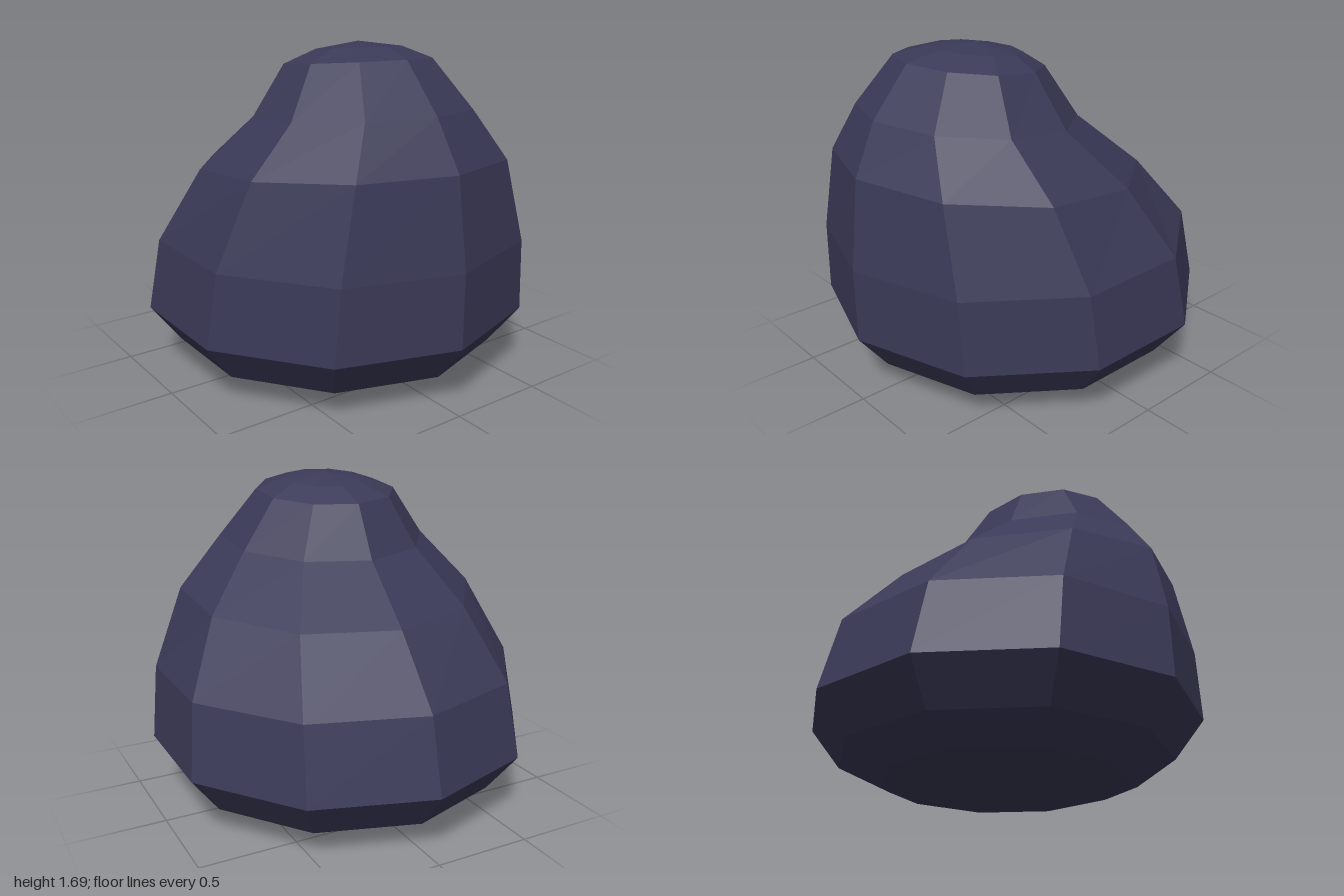
import * as THREE from 'three';

const SIDES = 10;

// Stacked ten-sided rings: radius, centre x/y/z, rise towards the front, rise towards +x
const RINGS = [
  [0.62, 0, 0.04, 0, 0, 0],
  [0.845, 0, 0.14, 0, 0, 0],
  [1.0, 0, 0.34, 0, 0, 0],
  [0.955, 0, 0.715, 0.047, 0, 0],
  [0.78, -0.01, 1.1, 0.167, 0.062, -0.014],
  [0.55, -0.035, 1.355, 0.27, 0.05, -0.008],
  [0.37, -0.045, 1.6, 0.247, 0.038, -0.008],
  [0.22, -0.02, 1.658, 0.22, 0.022, -0.005],
];
const BOTTOM = [0, 0, 0];
const TOP = [-0.02, 1.69, 0.22];

// Lofts the rings and closes both ends with a point
function loftGeometry() {
  const positions = [];
  for (const [r, cx, cy, cz, front, side] of RINGS) {
    for (let i = 0; i < SIDES; i++) {
      const a = (i / SIDES) * Math.PI * 2;
      const s = Math.sin(a), c = Math.cos(a);
      positions.push(cx + r * s, cy + front * c + side * s, cz + r * c);
    }
  }
  const bottom = positions.length / 3, top = bottom + 1;
  positions.push(...BOTTOM, ...TOP);

  const index = [];
  const last = (RINGS.length - 1) * SIDES;
  for (let i = 0; i < SIDES; i++) {
    const j = (i + 1) % SIDES;
    index.push(bottom, j, i, top, last + i, last + j);
    for (let k = 0; k < last; k += SIDES) {
      index.push(k + i, k + j, k + SIDES + j, k + i, k + SIDES + j, k + SIDES + i);
    }
  }

  const indexed = new THREE.BufferGeometry();
  indexed.setAttribute('position', new THREE.Float32BufferAttribute(positions, 3));
  indexed.setIndex(index);
  const geometry = indexed.toNonIndexed();
  geometry.computeVertexNormals();
  return geometry;
}

export function createModel() {
  const group = new THREE.Group();
  group.name = 'boulder';
  const stone = new THREE.MeshStandardMaterial({ color: 0x3b3a58, flatShading: true });
  stone.name = 'dark slate';

  // Leaning faceted body
  const body = new THREE.Mesh(loftGeometry(), stone);
  body.name = 'body';
  group.add(body);
  return group;
}
